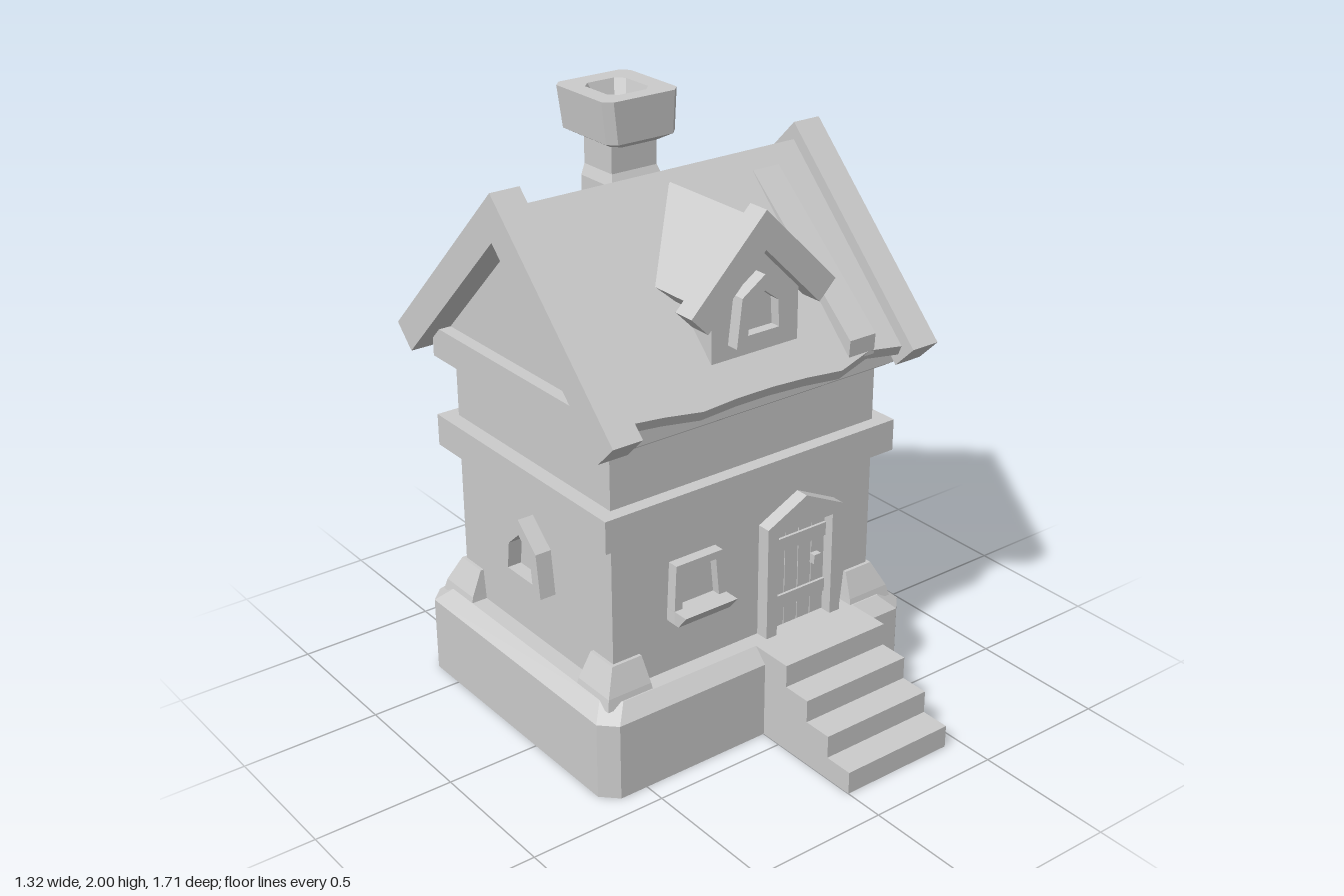
import * as THREE from 'three';

const MID = -0.135; // z of the house's centre line
const material = new THREE.MeshStandardMaterial({ color: 0xcccccc, flatShading: true, side: THREE.DoubleSide });

function add(parent, name, geometry, x = 0, y = 0, z = 0) {
  const mesh = new THREE.Mesh(geometry, material);
  mesh.name = name;
  mesh.position.set(x, y, z);
  parent.add(mesh);
  return mesh;
}

// Box given by its limits
function box(parent, name, x0, x1, y0, y1, z0, z1) {
  return add(parent, name, new THREE.BoxGeometry(x1 - x0, y1 - y0, z1 - z0),
    (x0 + x1) / 2, (y0 + y1) / 2, (z0 + z1) / 2);
}

// Stack of rectangular sections [y, x0, x1, z0, z1], with chamfered corners c
function loft(sections, c = 0) {
  const rings = sections.map(([y, x0, x1, z0, z1]) => {
    const pts = c
      ? [[x1, z0 + c], [x1, z1 - c], [x1 - c, z1], [x0 + c, z1], [x0, z1 - c], [x0, z0 + c], [x0 + c, z0], [x1 - c, z0]]
      : [[x1, z0], [x1, z1], [x0, z1], [x0, z0]];
    return { pts: pts.map(([x, z]) => [x, y, z]), mid: [(x0 + x1) / 2, y, (z0 + z1) / 2] };
  });
  const pos = [];
  const tri = (...corners) => corners.forEach((p) => pos.push(...p));
  const n = rings[0].pts.length;
  const first = rings[0];
  const last = rings[rings.length - 1];
  for (let i = 0; i < n; i++) {
    const j = (i + 1) % n;
    for (let r = 0; r + 1 < rings.length; r++) {
      const a = rings[r].pts;
      const b = rings[r + 1].pts;
      tri(a[i], b[i], a[j]);
      tri(a[j], b[i], b[j]);
    }
    tri(first.mid, first.pts[i], first.pts[j]);
    tri(last.mid, last.pts[j], last.pts[i]);
  }
  const g = new THREE.BufferGeometry();
  g.setAttribute('position', new THREE.Float32BufferAttribute(pos, 3));
  g.computeVertexNormals();
  return g;
}

// Outline in x and y, extruded forward from z = 0
function prism(points, depth, hole = null, steps = 1) {
  const toVectors = (list) => list.map(([x, y]) => new THREE.Vector2(x, y));
  const shape = new THREE.Shape(toVectors(points));
  if (hole) shape.holes.push(new THREE.Path(toVectors(hole)));
  return new THREE.ExtrudeGeometry(shape, { depth, steps, bevelEnabled: false });
}

// Outline in z and y, extruded across x and centred
const crossPrism = (points, depth, steps = 1) =>
  prism(points, depth, null, steps).translate(0, 0, -depth / 2).rotateY(-Math.PI / 2);

// 45 degree gable strip
const chevron = (apex, half, t) => [[0, apex], [half, apex - half], [half - t, apex - half - t],
  [0, apex - 2 * t], [t - half, apex - half - t], [-half, apex - half]];

// Window frame around an opening, standing proud of a wall at z = 0
function windowFrame(parent, name, outer, scale, cy, proud) {
  const inner = outer.map(([x, y]) => [x * scale, cy + (y - cy) * scale]);
  const g = new THREE.Group();
  g.name = name;
  add(g, 'frame', prism(outer, proud, inner));
  add(g, 'pane', prism(inner, 0.008));
  parent.add(g);
  return g;
}

export function createModel() {
  const house = new THREE.Group();
  house.name = 'cottage';

  // Stone base and entrance steps
  add(house, 'base', loft([[0, -0.66, 0.66, -0.69, 0.42], [0.28, -0.66, 0.66, -0.69, 0.42],
    [0.33, -0.61, 0.61, -0.64, 0.37]], 0.055));
  for (let i = 0; i < 4; i++) {
    box(house, 'step', 0, 0.44, 0, 0.0825 * (i + 1), 0.3, 0.855 - i * 0.108);
  }

  // Walls with two projecting bands
  box(house, 'walls', -0.55, 0.55, 0.3, 1.3, -0.58, 0.31);
  for (const [y0, y1] of [[0.865, 1.0], [1.2, 1.33]]) {
    add(house, 'band', loft([[y0, -0.575, 0.575, -0.6, 0.33], [y0 + 0.02, -0.605, 0.605, -0.63, 0.36],
      [y1, -0.605, 0.605, -0.63, 0.36]]));
  }

  // Tapered stones at the four corners
  for (const sx of [-1, 1]) {
    for (const sz of [-1, 1]) {
      const span = (y, inX, outX, inZ, outZ) => [y,
        Math.min(sx * inX, sx * outX), Math.max(sx * inX, sx * outX),
        Math.min(sz * inZ, sz * outZ), Math.max(sz * inZ, sz * outZ)];
      add(house, 'cornerStone', loft([span(0.31, 0.43, 0.615, 0.32, 0.505), span(0.35, 0.435, 0.605, 0.325, 0.495),
        span(0.44, 0.445, 0.562, 0.335, 0.457)]), 0, 0, MID);
    }
  }

  // Main roof, its eaves slightly uneven along the length
  const roof = crossPrism([[0, 1.88], [0.555, 1.325], [0.54, 1.29], [-0.54, 1.29], [-0.555, 1.325]], 1.12, 8);
  const frontEave = [-0.01, 0, 0.015, 0.01, 0.01, 0.015, 0.025, 0, 0.015];
  const backEave = [0.03, 0.01, 0, 0, 0, 0, 0, 0.01, 0.025];
  const p = roof.attributes.position;
  for (let i = 0; i < p.count; i++) {
    const z = p.getZ(i);
    if (Math.abs(z) < 0.5) continue;
    const d = (z > 0 ? frontEave : backEave)[Math.round((p.getX(i) + 0.56) / 0.14)];
    p.setZ(i, z + Math.sign(z) * d);
    p.setY(i, p.getY(i) - d);
  }
  roof.computeVertexNormals();
  add(house, 'roof', roof, 0, 0, MID);

  // Boards on both gable ends
  for (const s of [-1, 1]) {
    add(house, 'gableBoard', crossPrism(chevron(1.94, 0.625, 0.08), 0.11), s * 0.607, 0, MID);
  }

  // One raised roof plank on each slope
  for (const turn of [0, Math.PI]) {
    const side = new THREE.Group();
    side.name = 'roofPlank';
    side.position.z = MID;
    side.rotation.y = turn;
    add(side, 'plank', crossPrism([[0.055, 1.828], [0.56, 1.383], [0.555, 1.31], [0.055, 1.7]], 0.11), 0.385);
    house.add(side);
  }

  // Dormer
  const dormer = new THREE.Group();
  dormer.name = 'dormer';
  add(dormer, 'dormerWall', prism([[-0.175, 1.405], [0.175, 1.405], [0.175, 1.62], [0, 1.795], [-0.175, 1.62]], 0.34));
  add(dormer, 'dormerRoof', prism(chevron(1.85, 0.235, 0.045), 0.42), 0, 0, -0.1);
  add(dormer, 'dormerBoard', prism(chevron(1.89, 0.29, 0.065), 0.08), 0, 0, 0.307);
  windowFrame(dormer, 'dormerWindow', [[-0.11, 1.455], [0.1, 1.455], [0.09, 1.61], [0, 1.68], [-0.09, 1.62]],
    0.6, 1.545, 0.045).position.z = 0.34;
  house.add(dormer);

  // Windows on the front, back and right walls
  const square = [[-0.11, 0.53], [0.11, 0.53], [0.09, 0.74], [-0.1, 0.74]];
  const peaked = [[-0.12, 0.55], [0.12, 0.55], [0.1, 0.71], [0, 0.8], [-0.1, 0.71]];
  windowFrame(house, 'frontWindow', square, 0.7, 0.65, 0.04).position.set(-0.222, 0, 0.31);
  add(house, 'windowSill', loft([[0.525, -0.33, -0.115, 0.3, 0.37], [0.575, -0.33, -0.115, 0.3, 0.41]]));
  const back = windowFrame(house, 'backWindow', square, 0.7, 0.65, 0.05);
  back.position.set(-0.222, 0, -0.58);
  back.rotation.y = Math.PI;
  const right = windowFrame(house, 'rightWindow', peaked, 0.62, 0.65, 0.06);
  right.position.set(-0.55, 0, MID);
  right.rotation.y = -Math.PI / 2;

  // Door with its pointed surround, planks, crossbars and handle
  const door = new THREE.Group();
  door.name = 'door';
  door.position.set(0.22, 0, 0.31);
  add(door, 'doorFrame', prism(
    [[-0.165, 0.33], [-0.165, 0.75], [0, 0.83], [0.165, 0.75], [0.165, 0.33], [0.12, 0.33], [0.12, 0.72], [-0.12, 0.72], [-0.12, 0.33]], 0.05));
  for (let i = 0; i < 4; i++) {
    box(door, 'doorPlank', -0.117 + i * 0.059, -0.061 + i * 0.059, 0.335, 0.71, -0.01, 0.012);
  }
  for (const y of [0.41, 0.63]) box(door, 'doorCrossbar', -0.115, 0.115, y, y + 0.05, 0, 0.022);
  box(door, 'doorHandle', 0.055, 0.085, 0.54, 0.575, 0, 0.035);
  house.add(door);

  // Chimney: broad breast, sloping shoulder, slim shaft and hollow cap
  add(house, 'chimneyBreast', loft([[0, 0, 0.44, -0.855, -0.57], [1.07, 0, 0.44, -0.85, -0.57],
    [1.1, 0.01, 0.43, -0.835, -0.57], [1.2, 0.05, 0.39, -0.82, -0.57], [1.3, 0.11, 0.33, -0.765, -0.58]], 0.03));
  add(house, 'chimneyShaft', loft([[1.2, 0.11, 0.33, -0.765, -0.58], [1.68, 0.11, 0.33, -0.765, -0.58],
    [1.72, 0.125, 0.32, -0.765, -0.6], [1.86, 0.125, 0.32, -0.765, -0.6]]));
  add(house, 'chimneyCap', loft([[1.82, 0.12, 0.325, -0.8, -0.57], [1.845, 0.075, 0.37, -0.85, -0.53],
    [2, 0.055, 0.375, -0.855, -0.525], [2, 0.125, 0.3, -0.78, -0.59], [1.9, 0.165, 0.275, -0.745, -0.62]], 0.03));

  return house;
}
